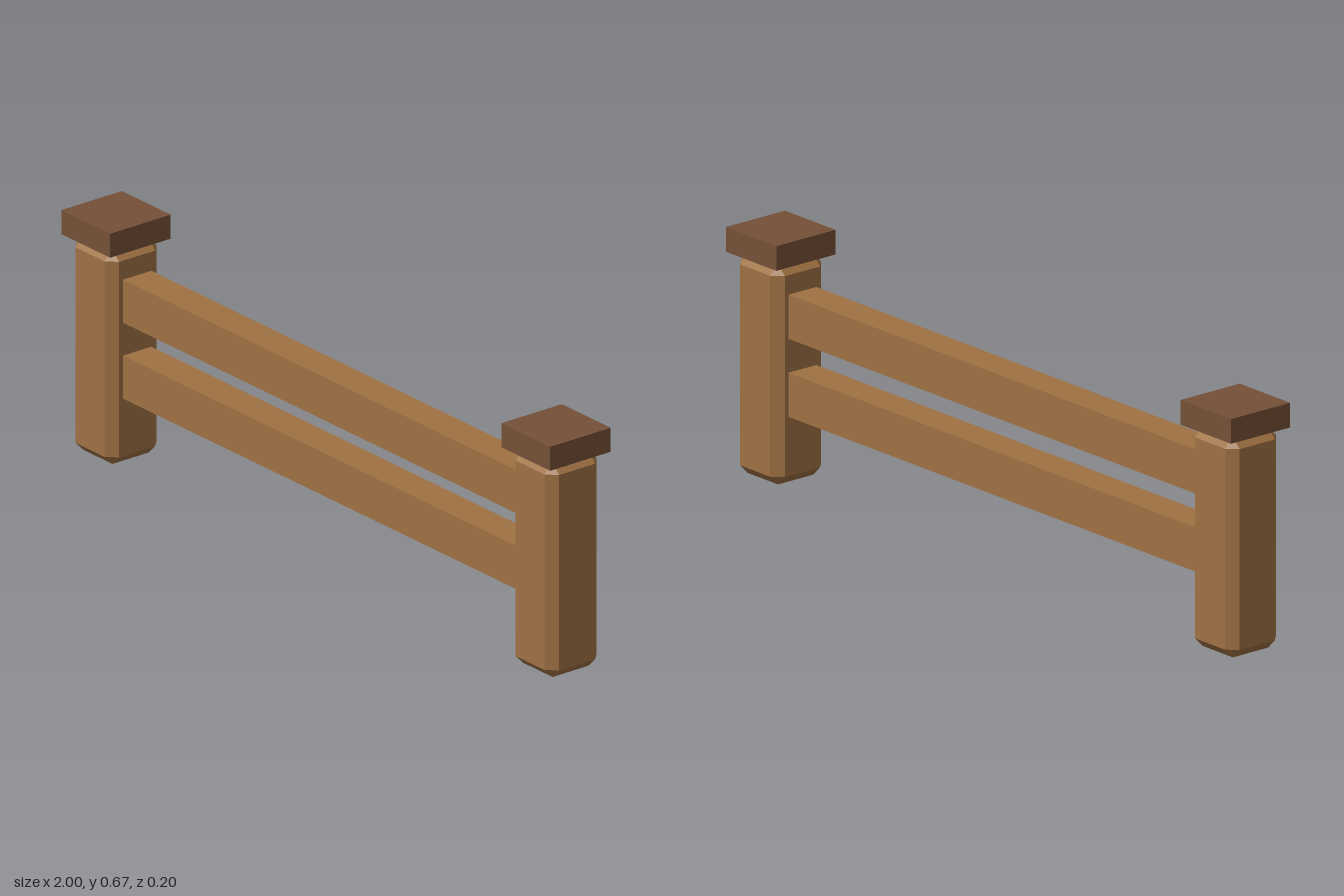
import * as THREE from 'three';
import { ConvexGeometry } from 'three/addons/geometries/ConvexGeometry.js';

// Box with every edge cut at 45 degrees
function chamferedBox(w, h, d, c) {
  const half = [w / 2, h / 2, d / 2];
  const points = [];
  for (const sx of [-1, 1]) for (const sy of [-1, 1]) for (const sz of [-1, 1]) {
    for (let axis = 0; axis < 3; axis++) {
      const p = half.map((v, i) => (i === axis ? v : v - c));
      points.push(new THREE.Vector3(p[0] * sx, p[1] * sy, p[2] * sz));
    }
  }
  return new ConvexGeometry(points);
}

export function createModel() {
  const wood = new THREE.MeshStandardMaterial({ color: 0x9f7143 });
  wood.name = 'wood';
  const darkWood = new THREE.MeshStandardMaterial({ color: 0x755037 });
  darkWood.name = 'darkWood';

  const fence = new THREE.Group();
  fence.name = 'fence';
  const add = (name, geometry, material, x, y) => {
    const mesh = new THREE.Mesh(geometry, material);
    mesh.name = name;
    mesh.position.set(x, y, 0);
    fence.add(mesh);
  };

  // Chamfered posts with square caps
  const postGeometry = chamferedBox(0.173, 0.6, 0.173, 0.027);
  const capGeometry = new THREE.BoxGeometry(0.2, 0.067, 0.2);
  for (const [side, x] of [['left', 0.9], ['right', -0.9]]) {
    add(side + 'Post', postGeometry, wood, x, 0.3);
    add(side + 'Cap', capGeometry, darkWood, x, 0.6335);
  }

  // Two rails let into the posts
  const railGeometry = new THREE.BoxGeometry(1.66, 0.12, 0.094);
  add('lowerRail', railGeometry, wood, 0, 0.248);
  add('upperRail', railGeometry, wood, 0, 0.46);

  return fence;
}
